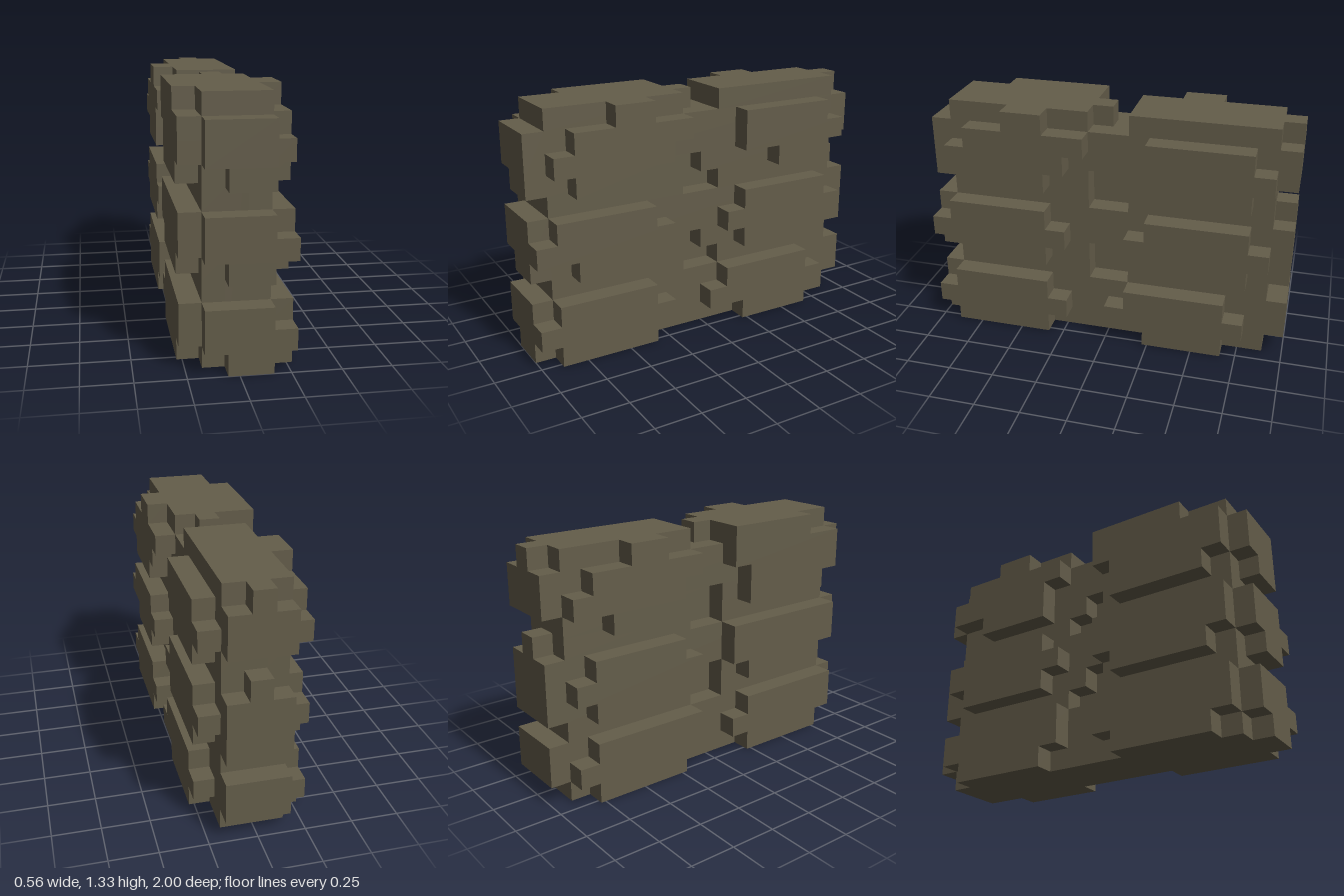
import * as THREE from 'three';

const U = 1 / 9; // one block

export function createModel() {
  const model = new THREE.Group();
  const stone = new THREE.MeshStandardMaterial({ color: 0x645d4a });
  stone.name = 'dull olive stone';

  // Box over block ranges: columns x0..x1, rows y0..y1, and depth z0..z1 counted from the front
  function block(parent, name, x0, x1, y0, y1, z0, z1) {
    const geo = new THREE.BoxGeometry((x1 - x0 + 1) * U, (y1 - y0 + 1) * U, (z1 - z0 + 1) * U);
    const mesh = new THREE.Mesh(geo, stone);
    mesh.name = name;
    mesh.position.set(((x0 + x1 + 1) / 2 - 2.5) * U, ((y0 + y1 + 1) / 2) * U, (9 - (z0 + z1 + 1) / 2) * U);
    parent.add(mesh);
  }
  function group(name) {
    const g = new THREE.Group();
    g.name = name;
    model.add(g);
    return g;
  }

  // Mortar core: solid middle sheet and two outer sheets with chipped pockets
  const core = group('mortarCore');
  block(core, 'middleSheet', 2, 2, 0, 10, 1, 16);
  block(core, 'middleCrestFront', 2, 2, 11, 11, 1, 8);
  block(core, 'middleCrestBack', 2, 2, 11, 11, 10, 16);
  for (const x of [1, 3]) {
    for (const [y0, y1, a, b] of [
      [0, 2, 1, 16], [3, 3, 1, 7], [3, 3, 10, 16], [4, 4, 1, 7], [4, 4, 9, 16],
      [5, 6, 1, 16], [7, 7, 1, 7], [7, 7, 10, 16], [8, 8, 1, 7], [8, 8, 9, 16],
      [9, 10, 1, 16], [11, 11, 1, 7], [11, 11, 10, 16],
    ]) block(core, 'outerSheet', x, x, y0, y1, a, b);
  }

  // Raised stones on each side, as [row, first depth, last depth]
  const sides = {
    leftStones: [4, [
      [0, 1, 5], [1, 0, 6], [2, 1, 5], [4, 2, 5], [5, 0, 6], [6, 1, 5],
      [8, 2, 5], [9, 1, 6], [10, 2, 7], [11, 4, 5],
      [0, 11, 14], [1, 9, 15], [2, 10, 14], [4, 11, 15], [5, 10, 16], [6, 11, 15],
      [8, 13, 15], [9, 11, 16], [10, 11, 15],
    ]],
    rightStones: [0, [
      [0, 2, 6], [1, 1, 7], [2, 1, 6], [4, 2, 6], [5, 1, 7], [6, 1, 7],
      [8, 2, 6], [9, 1, 6], [10, 1, 7], [11, 3, 7],
      [0, 11, 15], [1, 10, 16], [2, 10, 15], [4, 11, 15], [5, 10, 16], [6, 11, 15],
      [8, 11, 14], [9, 11, 16], [10, 10, 15], [11, 12, 13],
    ]],
  };
  for (const [name, [x, runs]] of Object.entries(sides)) {
    const g = group(name);
    for (const [y, a, b] of runs) block(g, 'stoneCourse', x, x, y, y, a, b);
  }

  // Front stones, one per tier, with a chipped lower corner
  const front = group('frontStones');
  for (const y of [0, 4, 8]) {
    block(front, 'frontStone', 1, 3, y + 1, y + 2, 0, 0);
    block(front, 'frontStoneFoot', 2, 3, y, y, 0, 0);
  }

  // Back stones
  const back = group('backStones');
  for (const [x0, x1, y0, y1] of [[1, 3, 1, 2], [1, 3, 4, 6], [2, 2, 7, 7], [1, 3, 9, 10], [2, 2, 11, 11]])
    block(back, 'backStone', x0, x1, y0, y1, 17, 17);

  return model;
}
